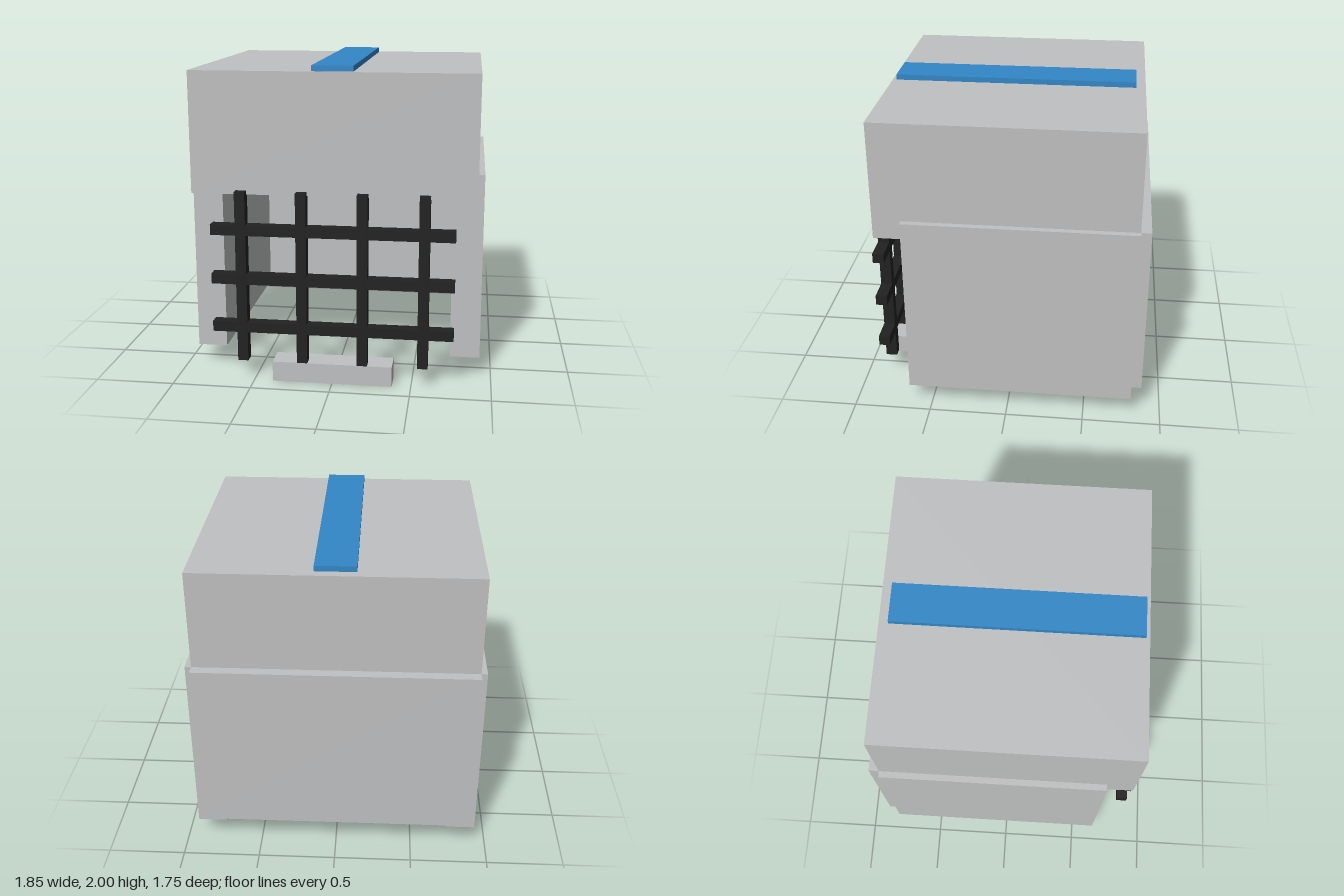
import * as THREE from 'three';

export function createModel() {
  const model = new THREE.Group();
  model.name = 'cagedHelmet';

  const material = (name, color) => {
    const m = new THREE.MeshStandardMaterial({ color });
    m.name = name;
    return m;
  };
  const shellGrey = material('shellGrey', 0xc0c1c2);
  const stripeBlue = material('stripeBlue', 0x3388c8);
  const cageBlack = material('cageBlack', 0x222222);

  // Box given by its extents along each axis
  const block = (name, mat, [x0, x1], [y0, y1], [z0, z1], parent = model) => {
    const mesh = new THREE.Mesh(new THREE.BoxGeometry(x1 - x0, y1 - y0, z1 - z0), mat);
    mesh.position.set((x0 + x1) / 2, (y0 + y1) / 2, (z0 + z1) / 2);
    mesh.name = name;
    parent.add(mesh);
  };

  // Shell
  block('crown', shellGrey, [-0.885, 0.885], [1.205, 1.965], [-0.807, 0.825]);
  block('leftSide', shellGrey, [0.735, 0.925], [0.13, 1.33], [-0.807, 0.645]);
  block('rightSide', shellGrey, [-0.925, -0.735], [0.13, 1.33], [-0.807, 0.645]);
  block('backPanel', shellGrey, [-0.885, 0.885], [0.195, 1.33], [-0.873, -0.745]);
  block('chinGuard', shellGrey, [-0.38, 0.38], [0, 0.13], [0.715, 0.875]);

  // Raised stripe over the crown
  block('crownStripe', stripeBlue, [-0.127, 0.127], [1.965, 2], [-0.747, 0.8]);

  // Face cage
  const cage = new THREE.Group();
  cage.name = 'faceCage';
  model.add(cage);
  const half = 0.033;
  const depth = [0.802, 0.875];
  for (const x of [-0.57, -0.19, 0.19, 0.57])
    block('verticalBar', cageBlack, [x - half, x + half], [0.13, 1.23], depth, cage);
  for (const y of [0.353, 0.669, 0.985])
    block('crossBar', cageBlack, [-0.76, 0.76], [y - half, y + half], depth, cage);

  return model;
}
